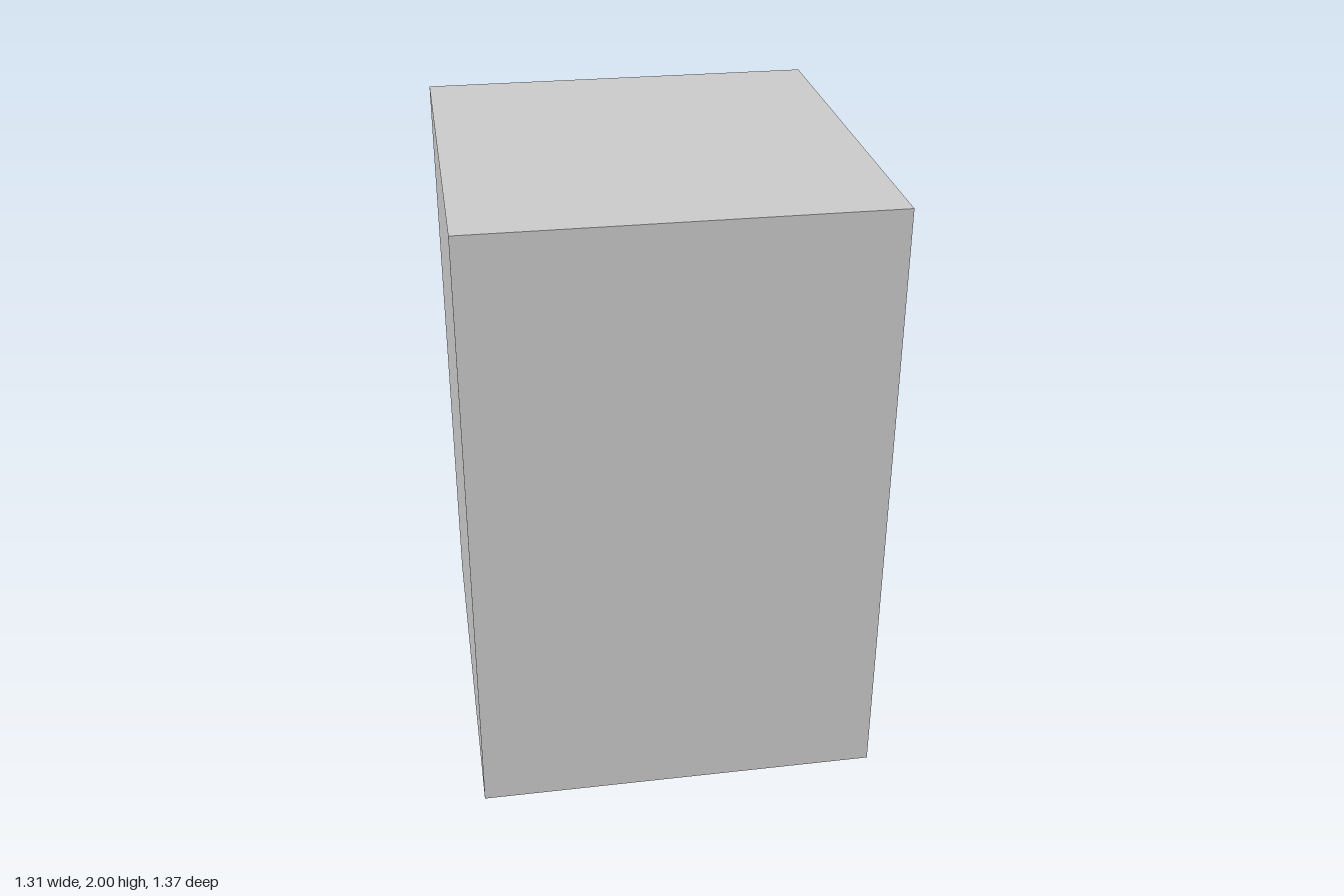
import * as THREE from 'three';

const W = 1.306, H = 2, D = 1.372; // outer size in x, y, z
const BACK = 0.1;                  // thickness of the closed wall at -x
const BAY = { width: 1.174, height: 0.466, first: 0.317, step: 0.535, radius: 0.01 };

// Rectangle with slightly rounded corners, centred on x, standing on y0
function roundedRect(w, h, y0, r) {
  const p = new THREE.Path();
  const x = w / 2 - r, lo = y0 + r, hi = y0 + h - r;
  p.absarc(x, lo, r, -Math.PI / 2, 0);
  p.absarc(x, hi, r, 0, Math.PI / 2);
  p.absarc(-x, hi, r, Math.PI / 2, Math.PI);
  p.absarc(-x, lo, r, Math.PI, Math.PI * 1.5);
  p.closePath();
  return p;
}

export function createModel() {
  const group = new THREE.Group();
  group.name = 'cabinet';
  const material = new THREE.MeshStandardMaterial({ color: 0xcccccc });

  // Cabinet body: side outline with three open bays, extruded along x
  const outline = new THREE.Shape([
    new THREE.Vector2(-D / 2, 0), new THREE.Vector2(D / 2, 0),
    new THREE.Vector2(D / 2, H), new THREE.Vector2(-D / 2, H),
  ]);
  for (let i = 0; i < 3; i++) {
    outline.holes.push(roundedRect(BAY.width, BAY.height, BAY.first + i * BAY.step, BAY.radius));
  }
  const bodyGeometry = new THREE.ExtrudeGeometry(outline, {
    depth: W - BACK, bevelEnabled: false, curveSegments: 3,
  });
  bodyGeometry.rotateY(Math.PI / 2).translate(-W / 2 + BACK, 0, 0);
  const body = new THREE.Mesh(bodyGeometry, material);
  body.name = 'cabinetBody';

  // Closed wall behind the bays
  const wall = new THREE.Mesh(new THREE.BoxGeometry(BACK, H, D), material);
  wall.position.set(-W / 2 + BACK / 2, H / 2, 0);
  wall.name = 'closedWall';

  group.add(body, wall);
  return group;
}
